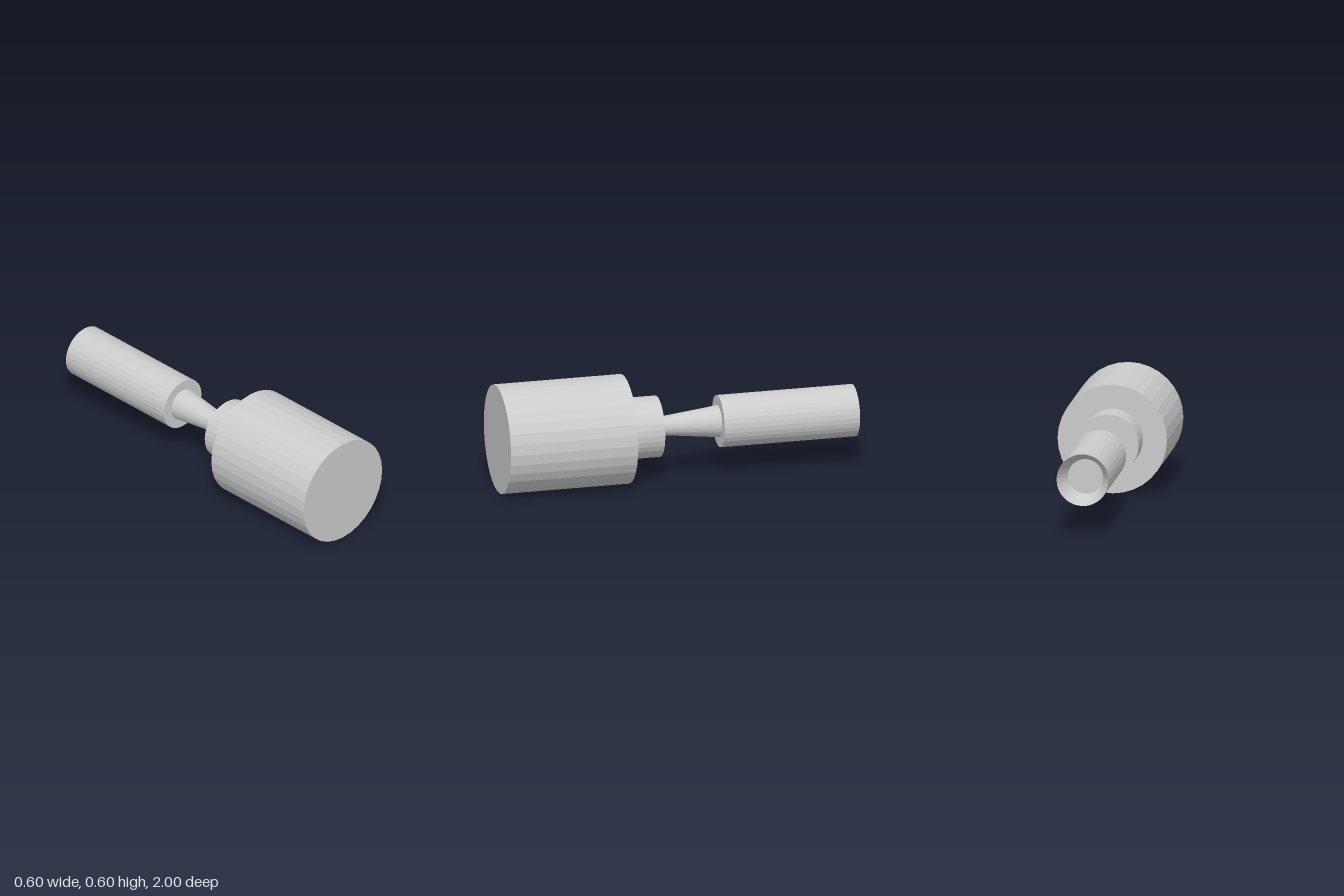
import * as THREE from 'three';

const SIDES = 32;
const AXIS_HEIGHT = 0.3;

export function createModel() {
  const model = new THREE.Group();
  const material = new THREE.MeshStandardMaterial({ color: 0xcccccc, flatShading: true });

  // Turns a closed profile of [radius, z] points, listed from back to front
  function turned(name, profile) {
    const points = profile.map(([r, z]) => new THREE.Vector2(r, z));
    const geometry = new THREE.LatheGeometry(points, SIDES);
    geometry.rotateX(Math.PI / 2);
    const mesh = new THREE.Mesh(geometry, material);
    mesh.name = name;
    mesh.position.y = AXIS_HEIGHT;
    model.add(mesh);
  }

  // Large solid cylinder at the front
  turned('head', [[0, 0.285], [0.3, 0.285], [0.3, 1], [0, 1]]);

  // Short step behind the head
  turned('collar', [[0, 0.1], [0.168, 0.1], [0.168, 0.285], [0, 0.285]]);

  // Tapered neck, narrowest at the collar
  turned('neck', [[0, -0.24], [0.088, -0.24], [0.049, 0.1], [0, 0.1]]);

  // Rear cylinder with a conical recess in its end
  turned('handle', [[0, -0.88], [0.096, -0.88], [0.143, -1], [0.143, -0.24], [0, -0.24]]);

  return model;
}
